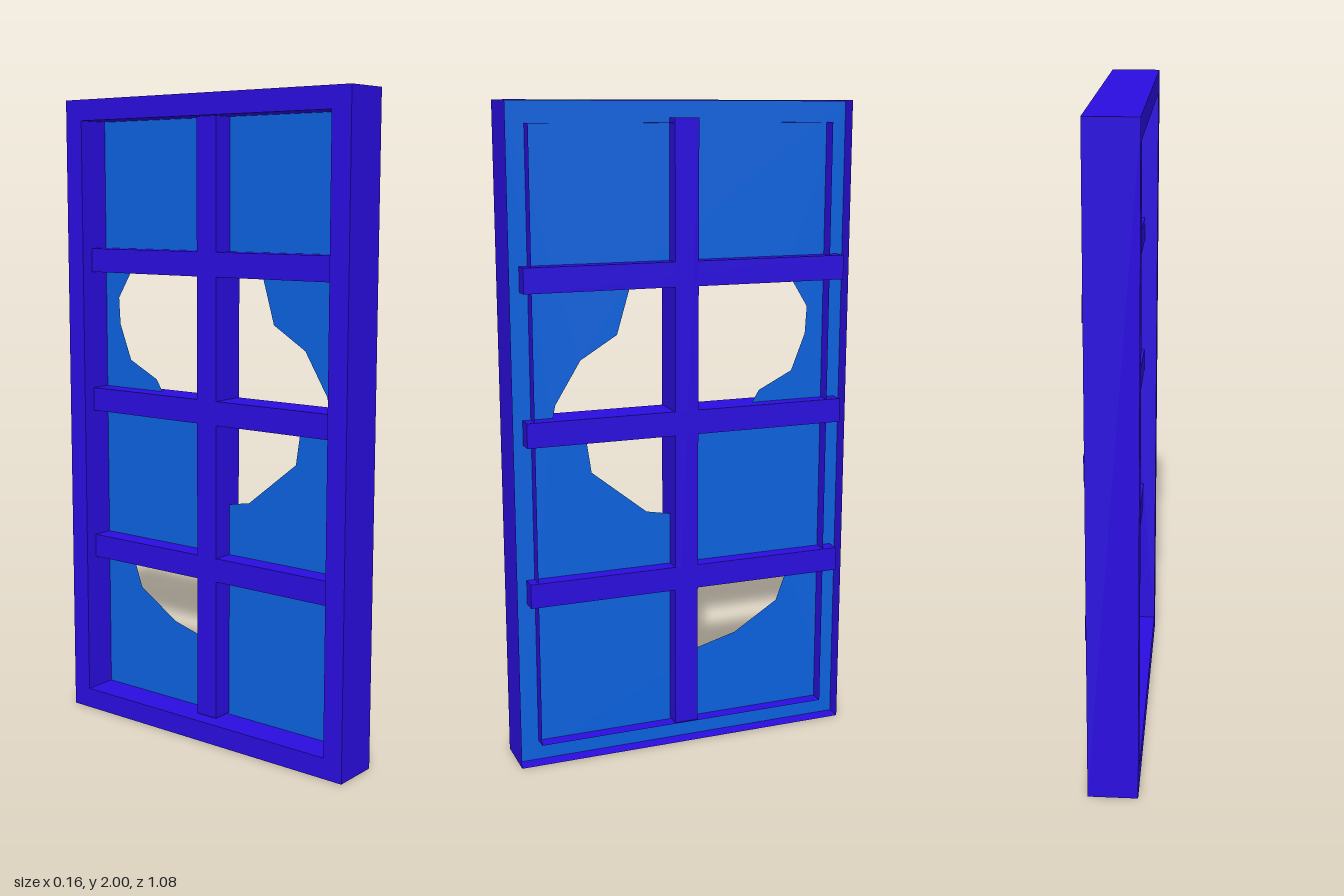
import * as THREE from 'three';

const BACK = -0.078, RIM = 0.073, GLASS = 0.03;
const HALF = 0.54, EDGE = 0.065; // half width of the frame, width of its rim

const frameMat = new THREE.MeshStandardMaterial({ color: 0x2a0de0, side: THREE.DoubleSide });
const glassMat = new THREE.MeshStandardMaterial({ color: 0x0c62e0, side: THREE.DoubleSide });

function add(group, name, geometry, material) {
  const mesh = new THREE.Mesh(geometry, material);
  mesh.name = name;
  group.add(mesh);
  return mesh;
}

// Rectangle in the pane's plane, inset from the outer edge; u runs along -z
function rectangle(inset, Type) {
  const w = HALF - inset, b = inset, t = 2 - inset;
  return new Type([[-w, b], [w, b], [w, t], [-w, t]].map(([u, v]) => new THREE.Vector2(u, v)));
}

// Outline given as [z, y] pairs
const hole = (points) => new THREE.Path(points.map(([z, y]) => new THREE.Vector2(-z, y)));

// Turns a flat shape to face +x at the given depth
const facing = (shape, x) => new THREE.ShapeGeometry(shape).rotateY(Math.PI / 2).translate(x, 0, 0);

// Four thin walls running from the back rim to the open side
function addWalls(group, name, inset) {
  const depth = RIM - BACK, mid = (RIM + BACK) / 2;
  const halfW = HALF - inset, height = 2 - 2 * inset;
  for (const s of [-1, 1]) {
    add(group, name, new THREE.PlaneGeometry(depth, height)
      .rotateY(s > 0 ? 0 : Math.PI).translate(mid, 1, s * halfW), frameMat);
    add(group, name, new THREE.PlaneGeometry(depth, halfW * 2)
      .rotateX(-s * Math.PI / 2).translate(mid, 1 + s * height / 2, 0), frameMat);
  }
}

export function createModel() {
  const model = new THREE.Group();
  model.name = 'brokenWindow';

  // Hollow frame: closed rim at the back, open on the other side
  const frame = new THREE.Group();
  frame.name = 'frame';
  const rim = rectangle(0, THREE.Shape);
  rim.holes.push(rectangle(EDGE, THREE.Path));
  add(frame, 'backRim', facing(rim, BACK), frameMat);
  addWalls(frame, 'outerWall', 0);
  addWalls(frame, 'innerWall', EDGE);
  model.add(frame);

  // Glass sheet with two jagged breaks
  const pane = rectangle(0.002, THREE.Shape);
  pane.holes.push(
    hole([[0.165, 1.455], [0.205, 1.32], [0.32, 1.25], [0.4, 1.12], [0.41, 1.07], [0.31, 1.04],
      [0.305, 1.005], [0.29, 0.905], [0.115, 0.765], [0.035, 0.75], [0, 0.75], [0, 1.04],
      [-0.225, 1.05], [-0.235, 1.08], [-0.26, 1.12], [-0.37, 1.175], [-0.415, 1.29],
      [-0.42, 1.375], [-0.37, 1.455], [-0.35, 1.5], [0.15, 1.5]]),
    hole([[0, 0.29], [-0.035, 0.29], [-0.185, 0.33], [-0.33, 0.42], [-0.365, 0.515],
      [-0.37, 0.55], [0, 0.55]]),
  );
  add(model, 'glass', facing(pane, GLASS), glassMat);

  // Glazing bars
  const barDepth = 0.114, barX = 0.02, barWidth = 0.075;
  add(model, 'uprightBar', new THREE.BoxGeometry(barDepth, 1.88, barWidth), frameMat)
    .position.set(barX, 1.01, 0);
  for (const y of [0.552, 1.045, 1.497]) {
    add(model, 'crossBar', new THREE.BoxGeometry(barDepth, barWidth, 1.02), frameMat)
      .position.set(barX, y, -0.01);
  }
  return model;
}
